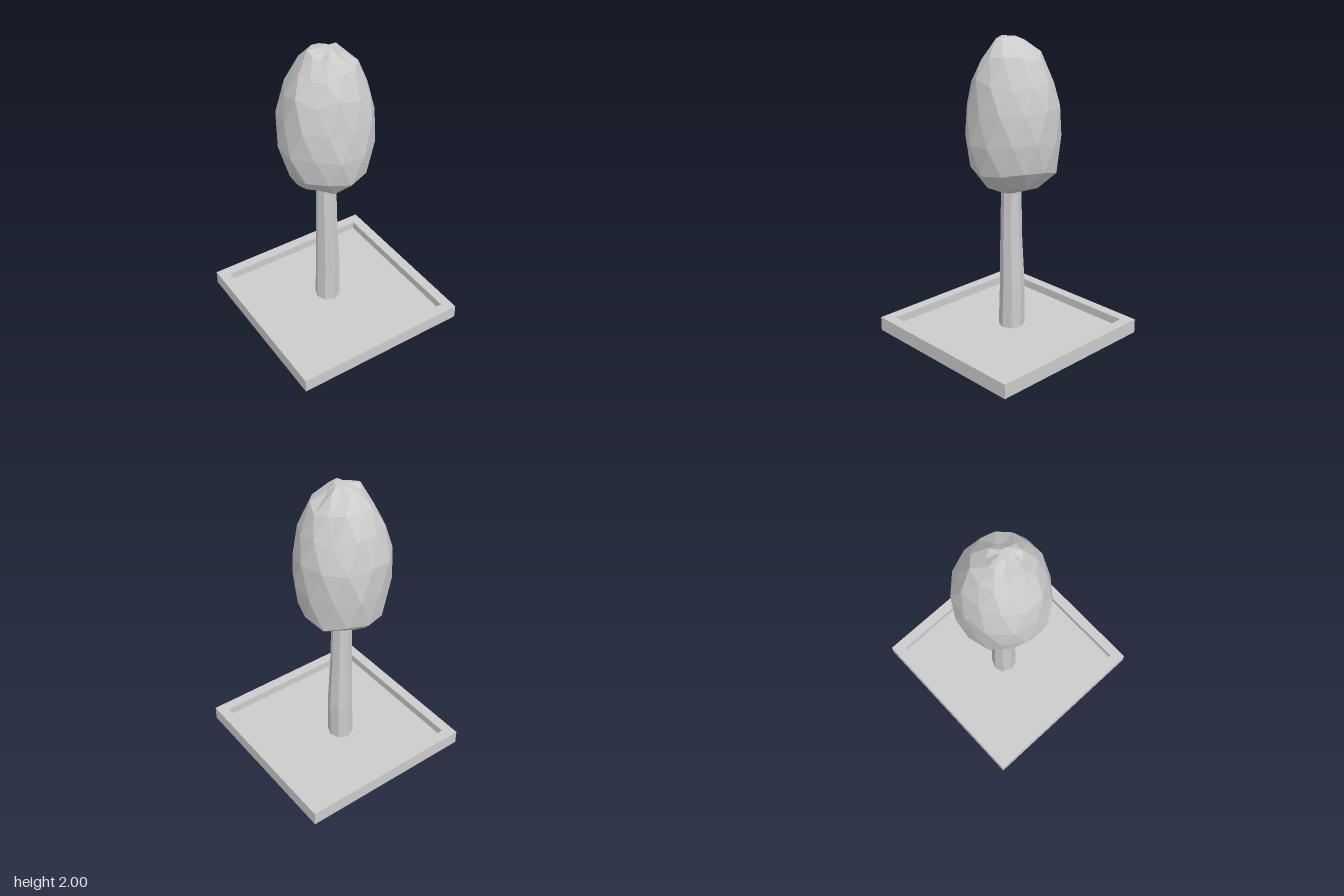
import * as THREE from 'three';

const grey = () => new THREE.MeshStandardMaterial({ color: 0xcccccc, flatShading: true });

// Repeatable noise in -1..1
function makeNoise(seed) {
  let s = seed;
  return () => {
    s = (s * 16807) % 2147483647;
    return (s / 2147483647) * 2 - 1;
  };
}

// Closed faceted solid through rings [y, xMin, xMax, zMin, zMax];
// twist turns each ring by a share of one side, rough shifts its corners
function loft(rings, sides, twist = 0, rough = 0, roughY = 0) {
  const noise = makeNoise(41);
  const points = rings.map(([y, x0, x1, z0, z1], i) => {
    const end = i === 0 || i === rings.length - 1;
    return Array.from({ length: sides }, (_, j) => {
      const a = ((j + i * twist) / sides) * Math.PI * 2;
      const r = 1 + noise() * rough;
      const dy = noise() * roughY;
      return new THREE.Vector3(
        (x0 + x1) / 2 + Math.cos(a) * r * (x1 - x0) / 2,
        y + (end ? 0 : dy),
        (z0 + z1) / 2 + Math.sin(a) * r * (z1 - z0) / 2
      );
    });
  });
  const centre = ([y, x0, x1, z0, z1]) => new THREE.Vector3((x0 + x1) / 2, y, (z0 + z1) / 2);
  const last = rings.length - 1;
  const bottom = centre(rings[0]);
  const top = centre(rings[last]);
  const tris = [];
  for (let j = 0; j < sides; j++) {
    const k = (j + 1) % sides;
    tris.push(bottom, points[0][j], points[0][k]);
    for (let i = 0; i < last; i++) {
      const a = points[i][j], b = points[i][k];
      const c = points[i + 1][j], d = points[i + 1][k];
      tris.push(a, c, b, b, c, d);
    }
    tris.push(top, points[last][k], points[last][j]);
  }
  const geometry = new THREE.BufferGeometry().setFromPoints(tris);
  geometry.computeVertexNormals();
  return geometry;
}

function square(half, Type) {
  return new Type([
    new THREE.Vector2(-half, -half), new THREE.Vector2(half, -half),
    new THREE.Vector2(half, half), new THREE.Vector2(-half, half),
  ]);
}

export function createModel() {
  const model = new THREE.Group();
  const add = (name, geometry) => {
    const mesh = new THREE.Mesh(geometry, grey());
    mesh.name = name;
    model.add(mesh);
    return mesh;
  };

  // Square tray: raised rim around a sunken floor
  const rim = square(0.6, THREE.Shape);
  rim.holes.push(square(0.53, THREE.Path));
  const rimGeometry = new THREE.ExtrudeGeometry(rim, { depth: 0.095, bevelEnabled: false });
  rimGeometry.rotateX(-Math.PI / 2);
  add('trayRim', rimGeometry).position.y = 0.035;
  add('trayFloor', new THREE.BoxGeometry(1.06, 0.04, 1.06)).position.y = 0.055;

  // Slightly bent, tapering trunk that pokes out below the tray
  add('trunk', loft([
    [0, -0.103, 0.07, -0.14, 0.037],
    [0.35, -0.093, 0.073, -0.135, 0.03],
    [0.68, -0.09, 0.053, -0.123, 0.022],
    [1.08, -0.088, 0.046, -0.113, 0.01],
  ], 8));

  // Egg-shaped faceted crown
  add('crown', loft([
    [1.02, -0.08, 0.05, -0.11, 0.03],
    [1.07, -0.2, 0.16, -0.24, 0.12],
    [1.18, -0.285, 0.265, -0.335, 0.215],
    [1.38, -0.322, 0.295, -0.357, 0.243],
    [1.57, -0.312, 0.285, -0.357, 0.237],
    [1.74, -0.28, 0.25, -0.305, 0.2],
    [1.88, -0.21, 0.175, -0.235, 0.135],
    [1.97, -0.13, 0.07, -0.15, 0.05],
    [2, -0.05, 0.01, -0.08, 0.01],
  ], 12, 0.5, 0.03, 0.025));

  return model;
}
